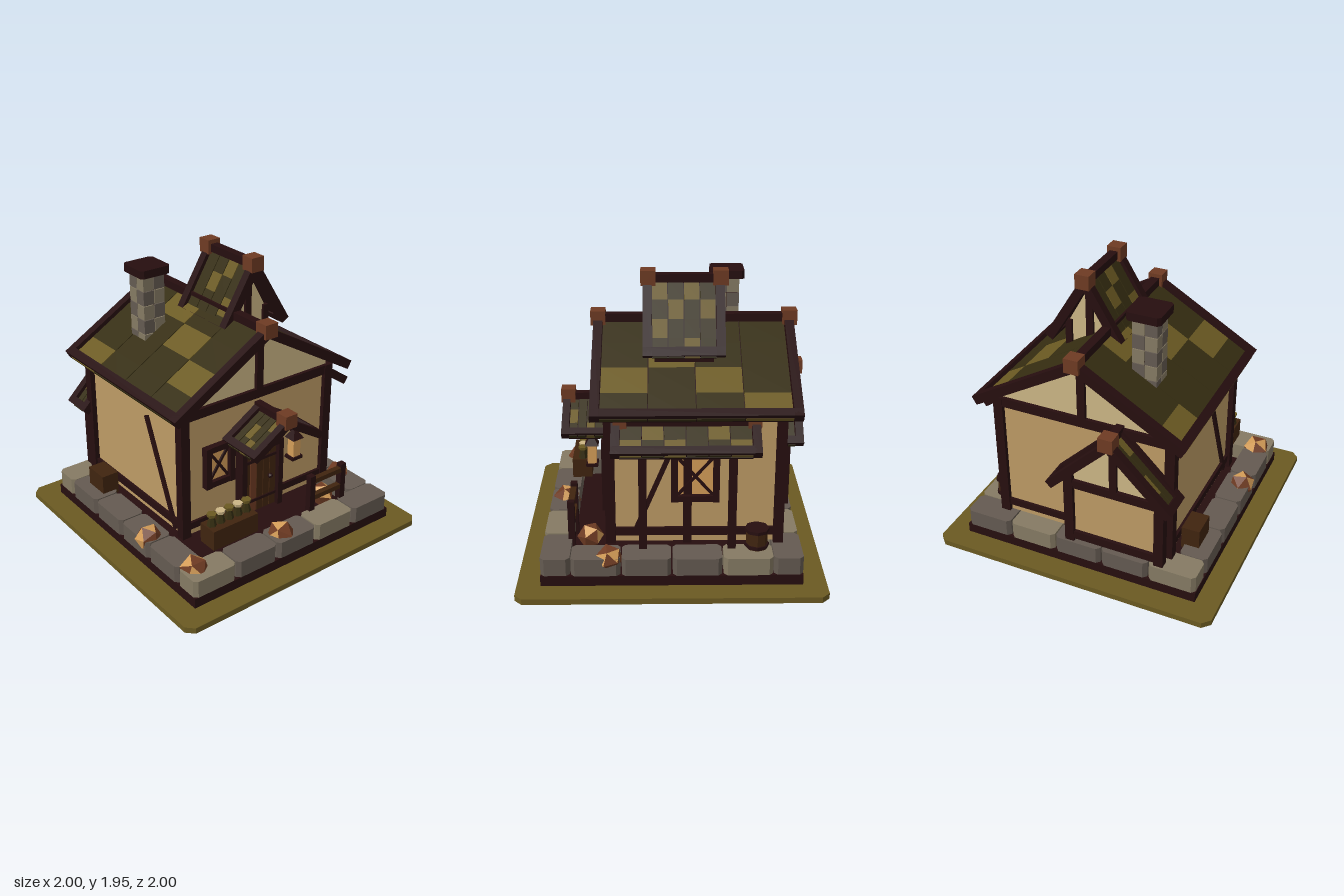
import * as THREE from 'three';

const mat = (name, color) => {
  const m = new THREE.MeshStandardMaterial({ color });
  m.name = name;
  return m;
};
const M = {
  olive: mat('olive', 0x6b5a22), moss: mat('dark moss', 0x352d11),
  timber: mat('dark timber', 0x260e0f), copper: mat('copper brown', 0x6e3b23),
  tan: mat('tan plaster', 0xbd9b65), cream: mat('cream plaster', 0xccb685),
  stone: mat('light stone', 0x857a63), grey: mat('grey stone', 0x645a51),
  wood: mat('door wood', 0x40240f), amber: mat('amber glass', 0xd49d58),
};

function add(parent, name, geo, material) {
  const m = new THREE.Mesh(geo, material);
  m.name = name;
  parent.add(m);
  return m;
}
function group(parent, name) {
  const g = new THREE.Group();
  g.name = name;
  parent.add(g);
  return g;
}
// Box given by its limits on each axis
function box(p, name, m, x0, x1, y0, y1, z0, z1) {
  const b = add(p, name, new THREE.BoxGeometry(x1 - x0, y1 - y0, z1 - z0), m);
  b.position.set((x0 + x1) / 2, (y0 + y1) / 2, (z0 + z1) / 2);
  return b;
}
// Beam running between two points of the xy plane
function beam(p, name, m, xa, ya, xb, yb, thick, z0, z1) {
  const b = add(p, name, new THREE.BoxGeometry(Math.hypot(xb - xa, yb - ya), thick, z1 - z0), m);
  b.position.set((xa + xb) / 2, (ya + yb) / 2, (z0 + z1) / 2);
  b.rotation.z = Math.atan2(yb - ya, xb - xa);
  return b;
}
// Polygon in xy, extruded along z
function prism(p, name, m, pts, z0, z1) {
  const shape = new THREE.Shape(pts.map(([x, y]) => new THREE.Vector2(x, y)));
  const g = new THREE.ExtrudeGeometry(shape, { depth: z1 - z0, bevelEnabled: false });
  return add(p, name, g.translate(0, 0, z0), m);
}
// Flat block with cut corners
function block(p, name, m, x0, x1, z0, z1, y0, y1, c) {
  const b = prism(p, name, m, [[x0 + c, -z1], [x1 - c, -z1], [x1, -z1 + c], [x1, -z0 - c],
    [x1 - c, -z0], [x0 + c, -z0], [x0, -z0 - c], [x0, -z1 + c]], y0, y1);
  b.rotation.x = -Math.PI / 2;
  return b;
}
// Tiled roof with timber edges; light lists the olive tiles as 'side,strip,row'
function roof(p, name, o) {
  const g = group(p, name);
  const { x, y, w, h, z0, z1, strips, rows, t, light } = o;
  const at = (s, f) => [x + s * w * f, y - h * f];
  const d = (z1 - z0 - 2 * t) / strips;
  for (const s of o.sides ?? [1, -1]) {
    beam(g, 'roofBoard', M.timber, ...at(s, 0), ...at(s, 0.97), 0.015, z0 + t, z1 - t).position.y -= 0.025;
    for (let i = 0; i < strips; i++) for (let j = 0; j < rows; j++) {
      const za = z0 + t + i * d;
      const m = light.includes(`${s},${i},${j}`) ? M.olive : M.moss;
      beam(g, 'roofTile', m, ...at(s, j / rows), ...at(s, (j + 1) / rows), 0.022, za + 0.003, za + d - 0.003)
        .position.y -= 0.008;
    }
    for (const z of [z0, z1 - t]) beam(g, 'bargeBoard', M.timber, ...at(s, 0), ...at(s, 1), t * 1.05, z, z + t);
    beam(g, 'eaveBeam', M.timber, ...at(s, 1 - t / Math.hypot(w, h)), ...at(s, 1), t * 1.05, z0, z1);
  }
  box(g, 'ridgeBeam', M.timber, x - t / 2, x + t / 2, y - 0.01, y + t * 0.75, z0, z1);
  const c = o.cap / 2;
  for (const z of o.caps) box(g, 'ridgeCap', M.copper, x - c, x + c, y + 0.022 - c, y + 0.022 + c, z - c, z + c);
  return g;
}
// Window facing +z, centred on its own origin
function windowUnit(p, name, w, h) {
  const g = group(p, name), a = w / 2, b = h / 2, t = 0.042;
  box(g, 'windowPane', M.amber, -a + t, a - t, -b + t, b - t, 0, 0.015);
  for (const s of [-1, 1]) {
    box(g, 'windowSide', M.timber, s * (a - t / 2) - t / 2, s * (a - t / 2) + t / 2, -b, b, 0, 0.05);
    box(g, 'windowRail', M.timber, -a, a, s * (b - t / 2) - t / 2, s * (b - t / 2) + t / 2, 0, 0.045);
    beam(g, 'windowCross', M.timber, -a + t, s * (b - t), a - t, -s * (b - t), 0.018, 0, 0.028);
  }
  return g;
}

export function createModel() {
  const root = new THREE.Group();
  root.name = 'cottage';

  // Ground, plinth and ring of stones
  block(root, 'ground', M.olive, -1, 1, -1, 1, 0, 0.04, 0.05);
  box(root, 'plinth', M.timber, -0.845, 0.845, 0.04, 0.11, -0.845, 0.845);
  const tone = [M.stone, M.grey, M.grey, M.stone, M.grey];
  for (let i = 0; i < 5; i++) for (const s of [-1, 1]) {
    const x = -0.845 + i * 0.338, a = s > 0 ? 0.655 : -0.845;
    block(root, 'foundationStone', tone[i], x + 0.005, x + 0.333, a, a + 0.19, 0.11, 0.23, 0.025);
    if (i === 4) continue;
    const z = -0.655 + i * 0.3275;
    block(root, 'foundationStone', i === 0 && s > 0 ? M.stone : M.grey, a, a + 0.19, z + 0.005, z + 0.322, 0.11, 0.23, 0.025);
  }

  // Main house walls and timber frame
  const house = group(root, 'house');
  box(house, 'walls', M.tan, -0.6, 0.6, 0.23, 1.12, -0.7, 0.4);
  prism(house, 'gables', M.cream, [[-0.6, 1.12], [0.6, 1.12], [0.6, 1.17], [0, 1.52], [-0.6, 1.17]], -0.7, 0.4);
  for (const s of [-1, 1]) {
    for (const z of [-0.73, 0.365]) box(house, 'cornerPost', M.timber, s * 0.603 - 0.033, s * 0.603 + 0.033, 0.23, 1.15, z, z + 0.065);
    for (const y of [0.28, 1.09]) box(house, 'sideRail', M.timber, s * 0.605 - 0.015, s * 0.605 + 0.015, y, y + 0.055, -0.7, 0.4);
  }
  for (const z of [-0.725, 0.39]) {
    box(house, 'tieBeam', M.timber, -0.6, 0.6, 1.085, 1.15, z, z + 0.035);
    box(house, 'sillBeam', M.timber, -0.6, 0.6, 0.28, 0.33, z + 0.005, z + 0.03);
    box(house, 'kingPost', M.timber, -0.027, 0.027, 1.14, 1.52, z, z + 0.035);
  }
  for (const [s, za, ya, zb, yb] of [[1, 0.23, 0.33, -0.01, 0.91], [-1, 0.31, 0.25, 0, 0.97]]) {
    const brace = group(house, 'wallBrace');
    brace.rotation.y = -Math.PI / 2;
    beam(brace, 'brace', M.timber, za, ya, zb, yb, 0.03, -s * 0.605 - 0.015, -s * 0.605 + 0.015);
  }
  box(house, 'wallStud', M.timber, 0.59, 0.63, 0.23, 1.1, -0.13, -0.075);
  roof(root, 'mainRoof', { x: 0, y: 1.565, w: 0.72, h: 0.42, z0: -0.815, z1: 0.51, strips: 4, rows: 4, t: 0.06,
    cap: 0.098, caps: [-0.79, 0.48], light: ['1,3,2', '1,1,2', '1,0,3', '1,2,1', '-1,2,1', '-1,3,2', '-1,1,0', '-1,0,3'] });

  // Dormer on the right slope
  const dormer = group(root, 'dormer');
  prism(dormer, 'dormerWalls', M.cream, [[0, 1.3], [0.31, 1.3], [0.31, 1.55], [0.155, 1.83], [0, 1.55]], -0.255, 0.085);
  for (const z of [-0.275, 0.075]) {
    box(dormer, 'dormerPost', M.timber, 0.13, 0.18, 1.4, 1.83, z, z + 0.03);
    for (const x of [-0.02, 0.285]) box(dormer, 'dormerCorner', M.timber, x, x + 0.045, 1.38, 1.56, z, z + 0.03);
  }
  box(dormer, 'dormerSill', M.timber, 0.29, 0.33, 1.38, 1.43, -0.27, 0.1);
  roof(dormer, 'dormerRoof', { x: 0.155, y: 1.875, w: 0.262, h: 0.43, z0: -0.345, z1: 0.18, strips: 4, rows: 4, t: 0.058,
    cap: 0.098, caps: [-0.32, 0.145], light: ['1,0,1', '1,1,0', '1,1,3', '1,3,0', '1,3,2', '1,2,1', '-1,1,1', '-1,3,2', '-1,2,0'] });

  // Chimney of alternating stone courses
  const chimney = group(root, 'chimney');
  box(chimney, 'chimneyCore', M.timber, -0.39, -0.245, 1.25, 1.785, -0.463, -0.317);
  for (let i = 0; i < 5; i++) for (let k = 0; k < 4; k++) {
    const x = k % 2 ? -0.315 : -0.4, z = k > 1 ? -0.388 : -0.472, y = 1.28 + i * 0.101;
    box(chimney, 'chimneyStone', (i + k + (k >> 1)) % 2 ? M.stone : M.grey, x, x + 0.081, y, y + 0.096, z, z + 0.081);
  }
  block(chimney, 'chimneyCap', M.timber, -0.43, -0.2, -0.505, -0.275, 1.785, 1.84, 0.02);

  // Back annex with its gable
  const annex = group(root, 'annex');
  prism(annex, 'annexWalls', M.tan, [[-0.57, 0.23], [0.05, 0.23], [0.05, 0.7], [-0.57, 0.7]], -0.8, -0.69);
  prism(annex, 'annexGable', M.cream, [[-0.57, 0.7], [0.05, 0.7], [0.05, 0.78], [-0.26, 1.1], [-0.57, 0.78]], -0.8, -0.69);
  for (const x of [-0.61, 0.025]) box(annex, 'annexPost', M.timber, x, x + 0.065, 0.23, 0.78, -0.83, -0.765);
  box(annex, 'annexTie', M.timber, -0.59, 0.07, 0.67, 0.73, -0.825, -0.79);
  box(annex, 'annexSill', M.timber, -0.59, 0.07, 0.25, 0.31, -0.825, -0.79);
  box(annex, 'annexKingPost', M.timber, -0.285, -0.235, 0.72, 1.1, -0.825, -0.79);
  roof(annex, 'annexRoof', { x: -0.26, y: 1.125, w: 0.415, h: 0.41, z0: -0.91, z1: -0.69, strips: 2, rows: 4, t: 0.055,
    cap: 0.098, caps: [-0.88], light: ['1,0,1', '1,1,2', '-1,0,2', '-1,1,0'] });

  // Lean-to along the right wall
  const leanTo = group(root, 'leanTo');
  roof(leanTo, 'leanToRoof', { x: 0.63, y: 1.08, w: 0.195, h: 0.135, z0: -0.555, z1: 0.38, strips: 6, rows: 2, t: 0.055,
    sides: [1], cap: 0.085, caps: [-0.52, 0.325], light: ['1,0,1', '1,1,0', '1,3,1', '1,4,0', '1,5,1'] });
  for (const z of [0.16, -0.415]) box(leanTo, 'leanToPost', M.timber, 0.66, 0.71, 0.11, 1.02, z, z + 0.052);
  const sideWindow = windowUnit(house, 'sideWindow', 0.31, 0.345);
  sideWindow.position.set(0.61, 0.712, -0.152);
  sideWindow.rotation.y = Math.PI / 2;

  // Door, front window and porch roof
  windowUnit(house, 'frontWindow', 0.235, 0.3).position.set(-0.335, 0.703, 0.4);
  const door = group(root, 'door');
  for (let i = 0; i < 5; i++) {
    const x = -0.14 + i * 0.056;
    box(door, 'doorPlank', i === 1 ? M.copper : M.wood, x + 0.003, x + 0.053, 0.23, 0.715, 0.4, 0.44);
  }
  box(door, 'doorBacking', M.timber, -0.14, 0.14, 0.23, 0.715, 0.4, 0.43);
  for (const s of [-1, 1]) box(door, 'doorJamb', M.timber, s * 0.157 - 0.02, s * 0.157 + 0.02, 0.23, 0.745, 0.4, 0.475);
  box(door, 'doorLintel', M.timber, -0.177, 0.177, 0.71, 0.745, 0.4, 0.475);
  for (const y of [0.31, 0.62]) box(door, 'doorStrap', M.timber, -0.14, 0.14, y, y + 0.02, 0.44, 0.448);
  add(door, 'doorKnob', new THREE.IcosahedronGeometry(0.02, 0), M.timber).position.set(0.08, 0.475, 0.455);
  roof(root, 'porchRoof', { x: 0, y: 1.015, w: 0.28, h: 0.172, z0: 0.4, z1: 0.73, strips: 4, rows: 3, t: 0.05,
    cap: 0.095, caps: [0.695], light: ['1,0,0', '1,1,2', '1,3,1', '-1,1,1', '-1,2,2', '-1,3,0'] });

  // Hanging lantern
  const lantern = group(root, 'lantern');
  lantern.position.set(0.218, 0, 0.532);
  box(lantern, 'lanternArm', M.timber, -0.012, 0.012, 0.8, 0.825, -0.13, 0.012);
  box(lantern, 'lanternGlass', M.amber, -0.03, 0.03, 0.62, 0.765, -0.03, 0.03);
  box(lantern, 'lanternBase', M.timber, -0.045, 0.045, 0.605, 0.627, -0.04, 0.04);
  const cap = add(lantern, 'lanternCap', new THREE.CylinderGeometry(0.015, 0.065, 0.06, 4).toNonIndexed(), M.timber);
  cap.geometry.computeVertexNormals();
  cap.position.y = 0.79;
  cap.rotation.y = Math.PI / 4;

  // Planter with a row of six-sided plants
  const planter = group(root, 'planter');
  box(planter, 'planterBox', M.wood, -0.595, -0.235, 0.29, 0.43, 0.57, 0.71);
  const facet = (g) => { const n = g.toNonIndexed(); n.computeVertexNormals(); return n; };
  for (let i = 0; i < 5; i++) {
    const x = -0.555 + i * 0.07;
    add(planter, 'plantStem', facet(new THREE.CylinderGeometry(0.018, 0.034, 0.07, 6)), M.moss).position.set(x, 0.462, 0.635);
    add(planter, 'plantHead', facet(new THREE.CylinderGeometry(0.034, 0.03, 0.022, 6)), i % 2 ? M.cream : M.olive)
      .position.set(x, 0.507, 0.635);
  }

  // Low fence, crate and barrel
  const fence = group(root, 'fence');
  for (const x of [0.25, 0.53]) box(fence, 'fencePost', M.timber, x, x + 0.045, 0.11, 0.5, 0.635, 0.68);
  for (const y of [0.31, 0.44]) box(fence, 'fenceRail', M.wood, 0.29, 0.535, y, y + 0.035, 0.64, 0.68);
  box(root, 'crate', M.wood, -0.755, -0.63, 0.2, 0.365, -0.555, -0.37);
  const barrel = group(root, 'barrel');
  barrel.position.set(0.685, 0, -0.552);
  add(barrel, 'barrelBody', facet(new THREE.CylinderGeometry(0.07, 0.07, 0.2, 8)), M.wood).position.y = 0.27;
  for (const y of [0.25, 0.36]) add(barrel, 'barrelHoop', facet(new THREE.CylinderGeometry(0.08, 0.08, 0.022, 8)), M.timber).position.y = y;

  // Faceted rocks in two colours
  [[-0.74, 0.7, 0.1], [-0.78, 0.24, 0.095], [0.78, 0.4, 0.09], [0.49, 0.54, 0.09], [-0.06, 0.74, 0.1]].forEach(([x, z, r], k) => {
    const g = new THREE.IcosahedronGeometry(r, 0);
    g.rotateX(0.553);
    for (let i = 0; i < 20; i++) g.addGroup(i * 3, 3, (i * 7 + k) % 3 ? 0 : 1);
    const rock = add(root, 'rock', g, [M.copper, M.amber]);
    rock.position.set(x, 0.21, z);
    rock.rotation.y = k * 1.1;
  });
  return root;
}
